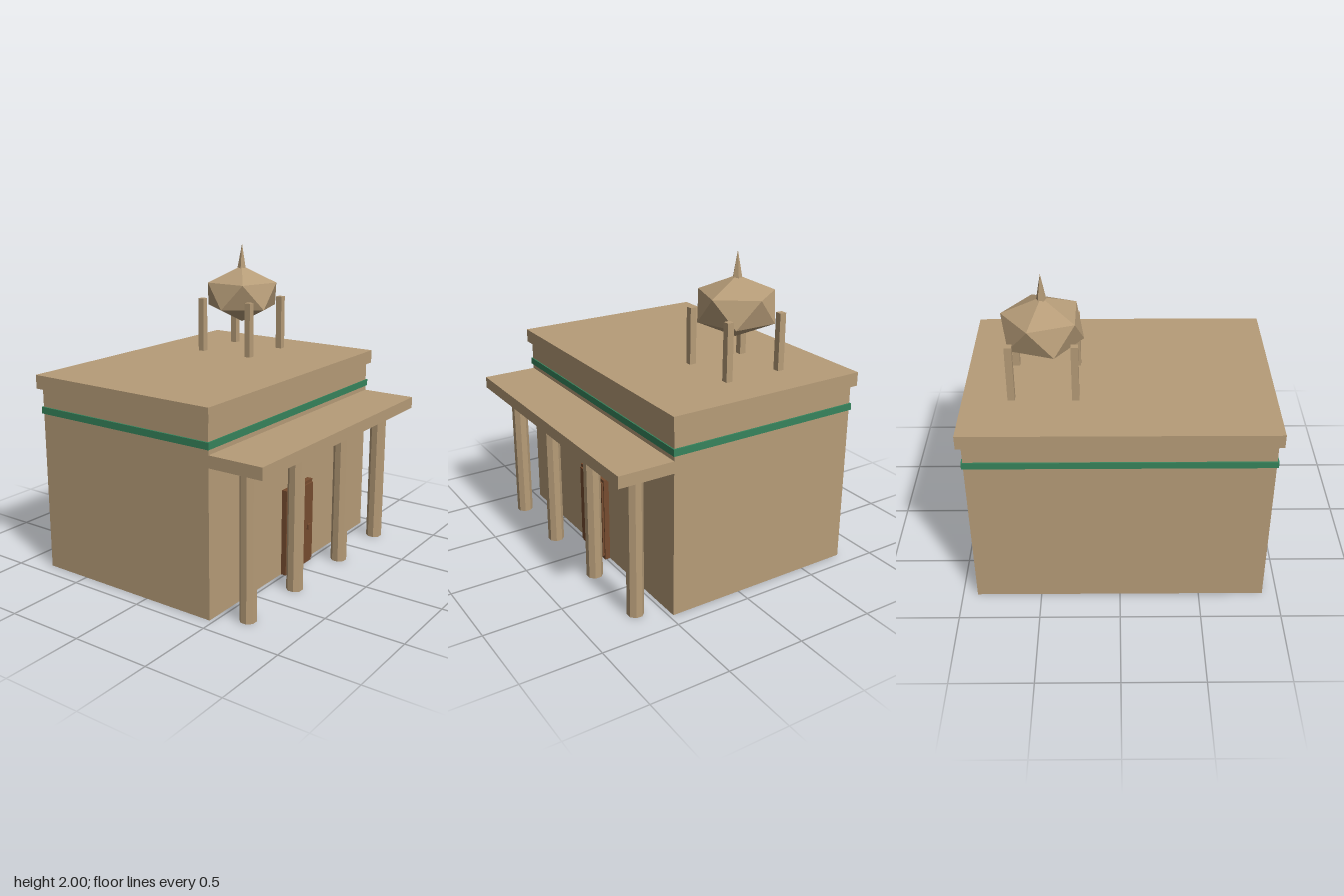
import * as THREE from 'three';

const flat = (name, color) => {
  const m = new THREE.MeshStandardMaterial({ color });
  m.name = name;
  return m;
};

export function createModel() {
  const model = new THREE.Group();
  model.name = 'building';
  const sandstone = flat('sandstone', 0xb69c78);
  const green = flat('green trim', 0x36845c);
  const brown = flat('door brown', 0x764c2f);

  const add = (name, geometry, material, x, y, z, parent = model) => {
    const mesh = new THREE.Mesh(geometry, material);
    mesh.name = name;
    mesh.position.set(x, y, z);
    parent.add(mesh);
    return mesh;
  };
  // Box given by its extents along each axis
  const box = (name, material, [x0, x1], [y0, y1], [z0, z1], parent) =>
    add(name, new THREE.BoxGeometry(x1 - x0, y1 - y0, z1 - z0), material,
      (x0 + x1) / 2, (y0 + y1) / 2, (z0 + z1) / 2, parent);

  // Main block, trim band, roof slab and porch roof
  box('walls', sandstone, [-0.907, 0.907], [0, 1.19], [-0.804, 0.474]);
  box('trimBand', green, [-0.917, 0.917], [1.027, 1.07], [-0.812, 0.482]);
  box('roofSlab', sandstone, [-0.935, 0.935], [1.187, 1.274], [-0.83, 0.497]);
  box('porchRoof', sandstone, [-0.907, 0.907], [0.92, 0.995], [0.47, 0.83]);

  // Eight-sided porch columns with a flat face forward
  const columnGeo = new THREE.CylinderGeometry(0.052, 0.052, 0.912, 8)
    .rotateY(Math.PI / 8).toNonIndexed();
  columnGeo.computeVertexNormals();
  for (const x of [-0.776, -0.276, 0.27, 0.771]) {
    add('porchColumn', columnGeo, sandstone, x, 0.456, 0.652);
  }

  // Door with raised panel and handle
  const door = new THREE.Group();
  door.name = 'door';
  model.add(door);
  box('doorFrame', brown, [-0.153, 0.151], [0, 0.567], [0.47, 0.509], door);
  box('doorPanel', brown, [-0.143, 0.143], [0.026, 0.548], [0.5, 0.521], door);
  box('doorHandle', brown, [0.075, 0.107], [0.24, 0.275], [0.515, 0.533], door);

  // Rooftop tank: squashed icosahedron standing on its point, spire and posts
  const tower = new THREE.Group();
  tower.name = 'rooftopTank';
  model.add(tower);
  const tankGeo = new THREE.IcosahedronGeometry(0.272, 0)
    .rotateX(-Math.atan((1 + Math.sqrt(5)) / 2))
    .rotateY(Math.PI / 2)
    .scale(1, 0.7, 1);
  tankGeo.computeVertexNormals();
  add('tank', tankGeo, sandstone, 0.452, 1.66, -0.26, tower);

  const spireGeo = new THREE.ConeGeometry(0.032, 0.17, 5).toNonIndexed();
  spireGeo.computeVertexNormals();
  add('spire', spireGeo, sandstone, 0.452, 1.915, -0.26, tower);

  const postGeo = new THREE.BoxGeometry(0.043, 0.367, 0.043);
  for (const x of [0.26, 0.642]) {
    for (const z of [-0.452, -0.068]) {
      add('tankPost', postGeo, sandstone, x, 1.452, z, tower);
    }
  }
  return model;
}
